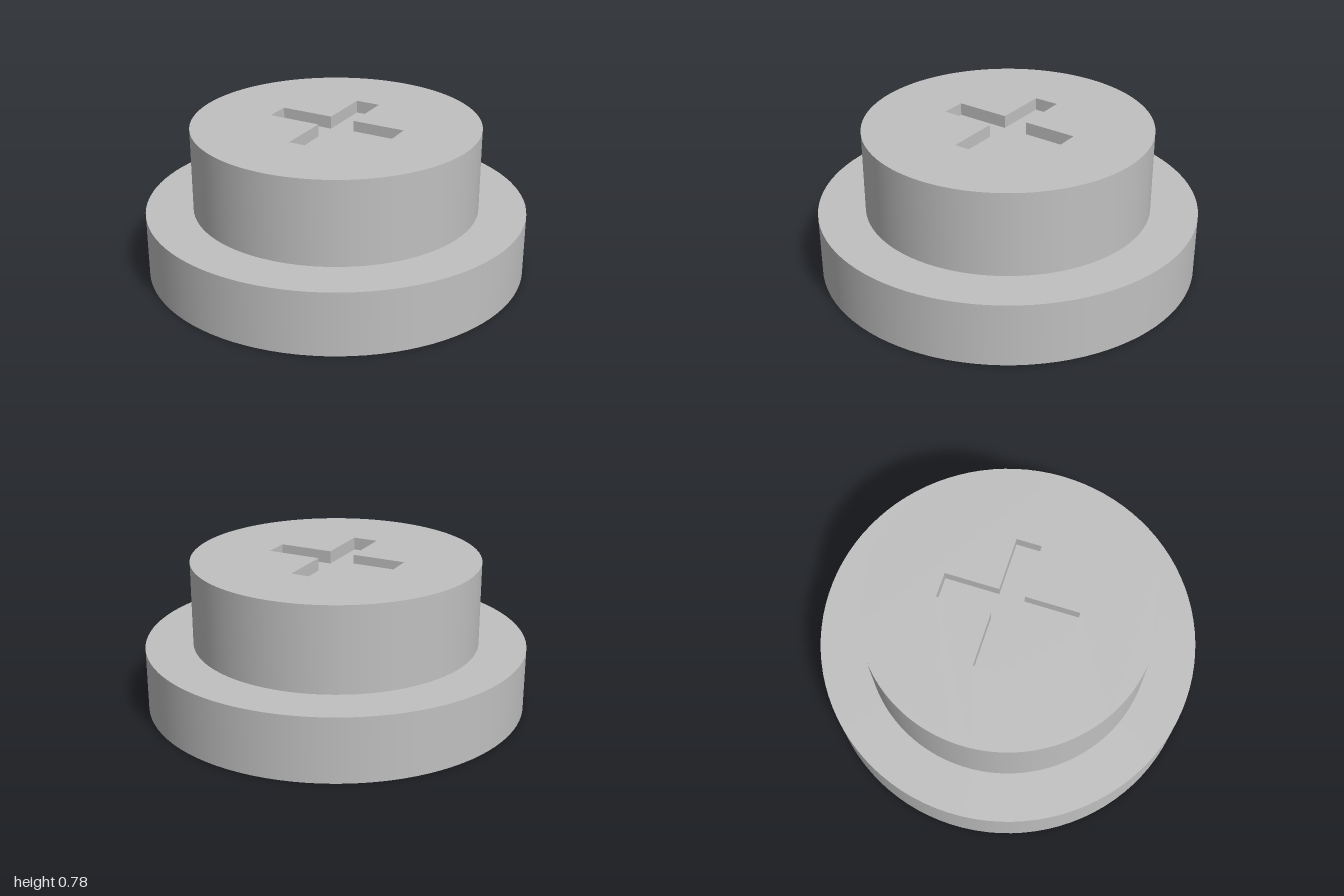
import * as THREE from 'three';

const SEGMENTS = 96;
const BASE_HEIGHT = 0.335, TOP = 0.78, BOSS_RADIUS = 0.752;
const ARM = 0.355, HALF = 0.067, DEPTH = 0.067;

// Outline of the cross recess, counter-clockwise
function crossPoints() {
  return [
    [HALF, HALF], [HALF, ARM], [-HALF, ARM], [-HALF, HALF],
    [-ARM, HALF], [-ARM, -HALF], [-HALF, -HALF], [-HALF, -ARM],
    [HALF, -ARM], [HALF, -HALF], [ARM, -HALF], [ARM, HALF],
  ].map(([x, y]) => new THREE.Vector2(x, y));
}

export function createModel() {
  const group = new THREE.Group();
  const grey = new THREE.MeshStandardMaterial({ color: 0xc0c0c0 });
  grey.name = 'light grey';

  const add = (name, geometry, y, parent = group) => {
    const mesh = new THREE.Mesh(geometry, grey);
    mesh.name = name;
    mesh.position.y = y;
    parent.add(mesh);
    return mesh;
  };

  // Wide flange and narrower raised boss
  add('baseFlange', new THREE.CylinderGeometry(1, 1, BASE_HEIGHT, SEGMENTS), BASE_HEIGHT / 2);
  const bossHeight = TOP - BASE_HEIGHT;
  add('bossSide', new THREE.CylinderGeometry(BOSS_RADIUS, BOSS_RADIUS, bossHeight, SEGMENTS, 1, true),
    BASE_HEIGHT + bossHeight / 2);

  // Top face with the cross cut out
  const points = crossPoints();
  const disc = new THREE.Shape().absarc(0, 0, BOSS_RADIUS, 0, Math.PI * 2);
  disc.holes.push(new THREE.Path(points));
  add('bossTop', new THREE.ShapeGeometry(disc, SEGMENTS).rotateX(-Math.PI / 2), TOP);

  // Sunken cross: floor and inward-facing walls
  const recess = new THREE.Group();
  recess.name = 'crossRecess';
  group.add(recess);
  add('recessFloor', new THREE.ShapeGeometry(new THREE.Shape(points)).rotateX(-Math.PI / 2),
    TOP - DEPTH, recess);
  points.forEach((a, i) => {
    const b = points[(i + 1) % points.length];
    const wall = add('recessWall', new THREE.PlaneGeometry(a.distanceTo(b), DEPTH), TOP - DEPTH / 2, recess);
    wall.position.x = (a.x + b.x) / 2;
    wall.position.z = -(a.y + b.y) / 2;
    wall.rotation.y = Math.atan2(a.y - b.y, a.x - b.x);
  });

  return group;
}
